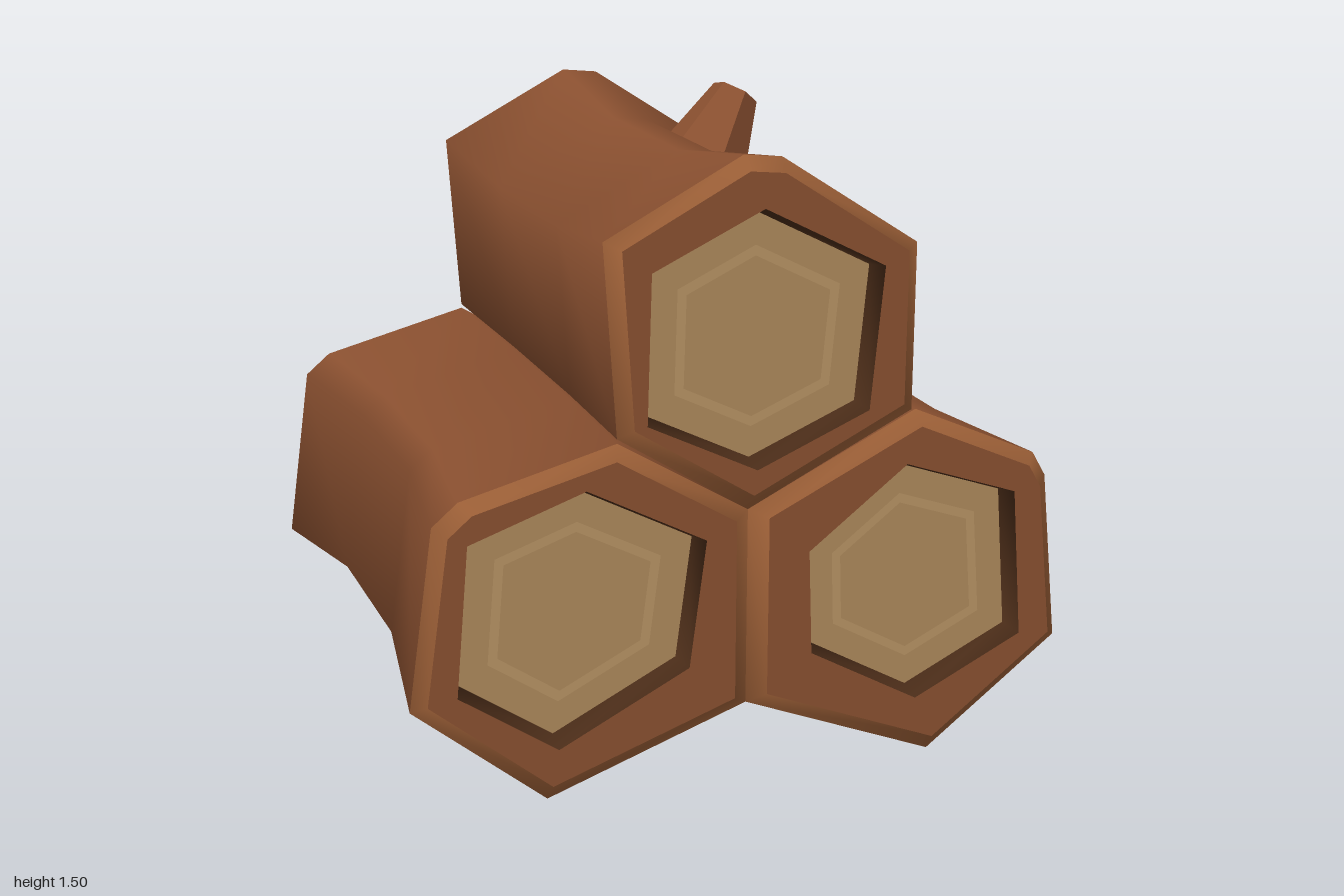
import * as THREE from 'three';

const material = (color, extra = {}) => new THREE.MeshStandardMaterial({ color, ...extra });
const bark = material(0x8a5030);
const rim = material(0x9a5e36, { side: THREE.DoubleSide });
const recess = material(0x4a2c18, { side: THREE.DoubleSide });
const wood = material(0xae8a5c, { side: THREE.DoubleSide });
const growth = material(0xb89364, { side: THREE.DoubleSide });

// Cross-sections and end openings, counter-clockwise from the front
const logs = [
  { name: 'topLog',
    outline: [[0.07, 1.465], [-0.02, 1.475], [-0.34, 1.31], [-0.31, 0.87], [0, 0.67], [0.4, 0.86], [0.4, 1.25]],
    opening: [[0.02, 1.36], [-0.24, 1.24], [-0.25, 0.9], [0.01, 0.77], [0.28, 0.88], [0.31, 1.21]] },
  { name: 'leftLog',
    outline: [[0, 0.67], [0, 0.2], [0.47, 0.005], [0.8, 0.25], [0.755, 0.66], [0.72, 0.72], [0.41, 0.86]],
    opening: [[0.38, 0.74], [0.14, 0.56], [0.15, 0.31], [0.42, 0.155], [0.69, 0.28], [0.66, 0.64]] },
  { name: 'rightLog',
    outline: [[0, 0.67], [-0.31, 0.86], [-0.67, 0.77], [-0.73, 0.72], [-0.79, 0.3], [-0.48, 0.04], [0, 0.2]],
    opening: [[-0.39, 0.77], [-0.66, 0.68], [-0.69, 0.33], [-0.46, 0.17], [-0.15, 0.32], [-0.11, 0.62]] },
];

const scaled = (points, s, [cx, cy]) => points.map(([x, y]) => [cx + (x - cx) * s, cy + (y - cy) * s]);
const centre = (points) => [0, 1].map((k) => points.reduce((sum, p) => sum + p[k], 0) / points.length);

// Skin a row of matching rings, each { points, z }
function loft(rings) {
  const n = rings[0].points.length, position = [], index = [];
  rings.forEach(({ points, z }) => points.forEach(([x, y]) => position.push(x, y, z)));
  for (let r = 0; r < rings.length - 1; r++) {
    for (let i = 0; i < n; i++) {
      const a = r * n + i, b = r * n + (i + 1) % n;
      index.push(a, b, b + n, a, b + n, a + n);
    }
  }
  const geometry = new THREE.BufferGeometry();
  geometry.setAttribute('position', new THREE.Float32BufferAttribute(position, 3));
  geometry.setIndex(index);
  geometry.computeVertexNormals();
  return geometry;
}

// Flat plate with an optional hole
function plate(points, hole) {
  const toVectors = (list) => list.map(([x, y]) => new THREE.Vector2(x, y));
  const shape = new THREE.Shape(toVectors(points));
  if (hole) shape.holes.push(new THREE.Path(toVectors(hole)));
  return new THREE.ShapeGeometry(shape);
}

function add(group, name, geometry, mat, z = 0) {
  const mesh = new THREE.Mesh(geometry, mat);
  mesh.name = name;
  mesh.position.z = z;
  group.add(mesh);
  return mesh;
}

function buildLog({ name, outline, opening }) {
  const log = new THREE.Group();
  log.name = name;
  const edge = 0.61, face = 0.64, floor = 0.585;

  // Bark tube, pinched in the middle towards the heart of the pile
  const waist = scaled(outline, 0.925, [0, 0.67]);
  add(log, 'bark', loft([
    { points: outline, z: -edge }, { points: waist, z: -0.22 },
    { points: waist, z: 0.22 }, { points: outline, z: edge },
  ]), bark);

  const lip = scaled(outline, 0.91, centre(outline));
  const mid = centre(opening);
  const cut = scaled(opening, 0.95, mid);
  for (const side of [1, -1]) {
    const end = new THREE.Group();
    end.name = side > 0 ? 'frontEnd' : 'backEnd';
    log.add(end);

    // Bevelled bark rim
    const bevel = [{ points: outline, z: side * edge }, { points: lip, z: side * face }];
    add(end, 'bevel', loft(side > 0 ? bevel : bevel.reverse()), rim);
    add(end, 'rim', plate(lip, opening), bark.clone(), side * face).material.side = THREE.DoubleSide;

    // Sunken cut face with a growth ring
    const wall = [{ points: opening, z: side * face }, { points: cut, z: side * floor }];
    add(end, 'recessWall', loft(side > 0 ? wall : wall.reverse()), recess);
    add(end, 'cutWood', plate(cut), wood, side * floor);
    add(end, 'growthRing', plate(scaled(opening, 0.7, mid), scaled(opening, 0.62, mid)), growth, side * (floor + 0.003));
  }
  return log;
}

export function createModel() {
  const model = new THREE.Group();
  model.name = 'logPile';
  const pile = new THREE.Group();
  pile.name = 'logs';
  pile.rotation.y = 0.507;
  model.add(pile);
  logs.forEach((log) => pile.add(buildLog(log)));

  // Branch stub on the top log
  const base = new THREE.Vector3(0.14, 1.28, -0.08), tip = new THREE.Vector3(0.265, 1.475, -0.125);
  const axis = tip.clone().sub(base);
  const stub = add(pile, 'branchStub', new THREE.CylinderGeometry(0.058, 0.125, axis.length(), 6),
    material(0x8a5030, { flatShading: true }));
  stub.position.copy(base).add(tip).multiplyScalar(0.5);
  stub.quaternion.setFromUnitVectors(new THREE.Vector3(0, 1, 0), axis.normalize());
  return model;
}
